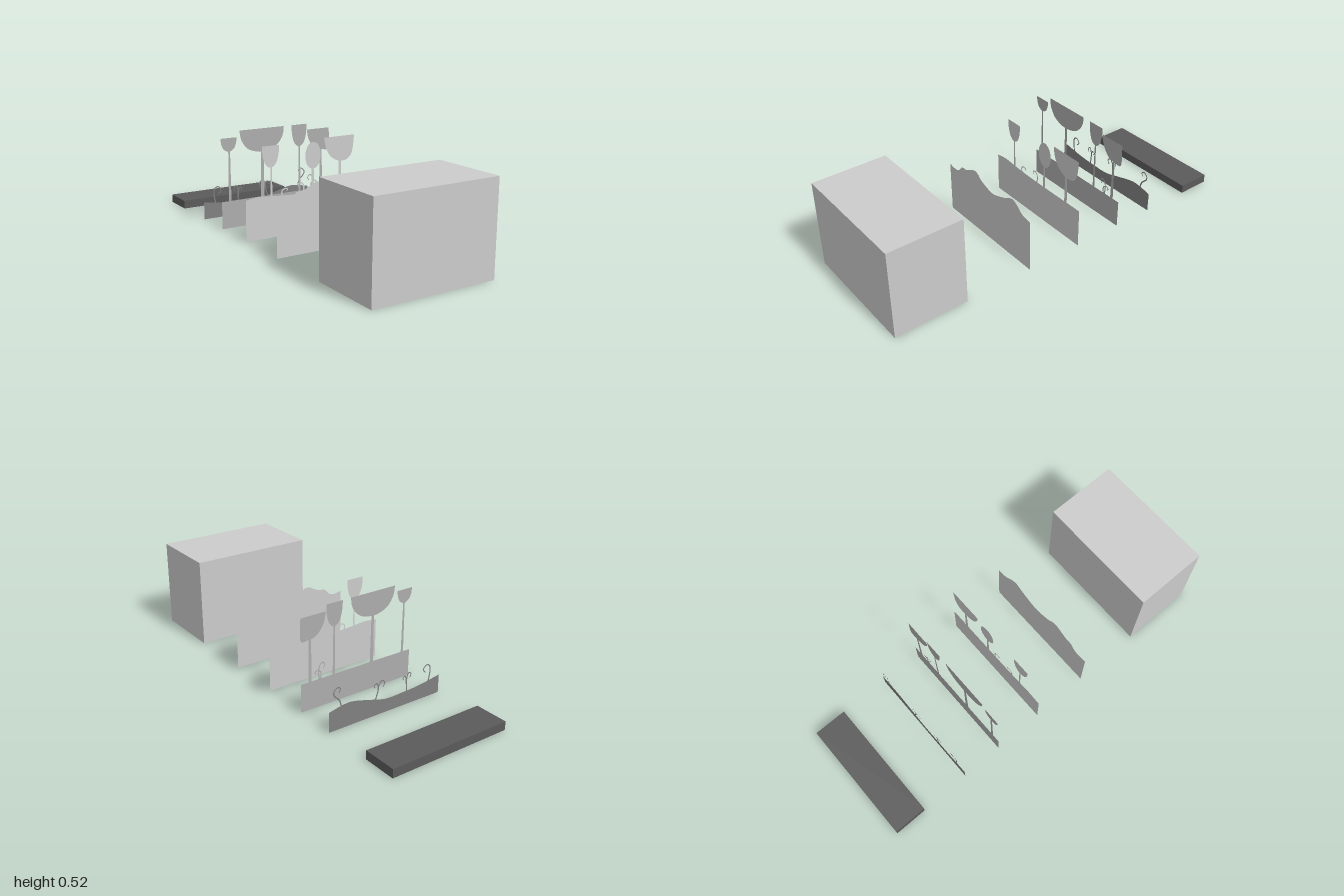
import * as THREE from 'three';

const HALF = 0.332; // half width shared by every layer
const V = (p) => new THREE.Vector2(p[0], p[1]);
const mat = (color) => new THREE.MeshStandardMaterial({ color, side: THREE.DoubleSide });

function addSheet(group, name, shape, material) {
  const mesh = new THREE.Mesh(new THREE.ShapeGeometry(shape, 16), material);
  mesh.name = name;
  group.add(mesh);
}

// Strip of ground with a smooth top contour, given left to right
function ground(top) {
  const shape = new THREE.Shape();
  shape.moveTo(HALF, 0);
  shape.lineTo(HALF, top[top.length - 1][1]);
  const pts = new THREE.SplineCurve(top.map(V)).getPoints(top.length * 5).reverse();
  pts.slice(1).forEach((p) => shape.lineTo(p.x, p.y));
  shape.lineTo(-HALF, 0);
  return shape;
}

// Flat-topped crown, rounded below; "low" is the bottom contour from left to right
function crown(left, right, top, low) {
  const shape = new THREE.Shape();
  shape.moveTo(right, top);
  shape.lineTo(left, top);
  shape.splineThru([...low, [right, top]].map(V));
  return shape;
}

// Symmetric cup crown
function cup(left, right, top, bottom) {
  const c = (left + right) / 2, w = (right - left) / 2, h = top - bottom;
  return crown(left, right, top, [
    [c - w * 0.93, top - h * 0.42], [c - w * 0.62, top - h * 0.82], [c, bottom],
    [c + w * 0.62, top - h * 0.82], [c + w * 0.93, top - h * 0.42]]);
}

// Thin trunk that widens slightly toward the ground
function trunk(x, y0, y1, w) {
  return new THREE.Shape([[x - w * 0.6, y0], [x + w * 0.6, y0], [x + w * 0.4, y1], [x - w * 0.4, y1]].map(V));
}

// Tapering flat ribbon along a smooth path
function ribbon(path, w = 0.008) {
  const curve = new THREE.SplineCurve(path.map(V));
  const n = 24, a = [], b = [];
  for (let i = 0; i <= n; i++) {
    const p = curve.getPoint(i / n), t = curve.getTangent(i / n);
    const r = w * 0.5 * (1 - 0.4 * i / n);
    a.push(new THREE.Vector2(p.x - t.y * r, p.y + t.x * r));
    b.push(new THREE.Vector2(p.x + t.y * r, p.y - t.x * r));
  }
  return new THREE.Shape([...a, ...b.reverse()]);
}

// Small curled sprout; dir is the side it curls toward
const sprout = (x, y, h, dir) => ribbon([
  [x, y], [x - dir * 0.006, y + h * 0.45], [x - dir * 0.002, y + h * 0.8], [x + dir * 0.014, y + h],
  [x + dir * 0.03, y + h * 0.86], [x + dir * 0.022, y + h * 0.66]]);

export function createModel() {
  const model = new THREE.Group();
  const grey = mat(0xcccccc);

  const box = (name, h, z0, z1, material) => {
    const mesh = new THREE.Mesh(new THREE.BoxGeometry(HALF * 2, h, z1 - z0), material);
    mesh.name = name;
    mesh.position.set(0, h / 2, (z0 + z1) / 2);
    model.add(mesh);
  };
  const layer = (name, z) => {
    const g = new THREE.Group();
    g.name = name;
    g.position.z = z;
    model.add(g);
    return g;
  };

  // Solid blocks at both ends
  box('frontBlock', 0.47, 0.61, 1, grey);
  box('backSlab', 0.045, -1, -0.823, mat(0x5a5a5a));

  // Rolling hills
  const hills = layer('hillLayer', 0.243);
  addSheet(hills, 'hills', ground([
    [-HALF, 0.278], [-0.285, 0.27], [-0.252, 0.28], [-0.222, 0.31], [-0.18, 0.316], [-0.12, 0.345],
    [-0.085, 0.342], [-0.05, 0.315], [0.028, 0.29], [0.083, 0.299], [0.139, 0.319], [0.192, 0.343],
    [0.23, 0.33], [0.275, 0.295], [HALF, 0.283]]), grey);

  // Near grove
  const near = layer('nearGrove', -0.065);
  addSheet(near, 'nearGround', ground([
    [-HALF, 0.215], [-0.26, 0.224], [-0.17, 0.217], [-0.06, 0.211], [0.1, 0.21], [HALF, 0.211]]), grey);
  addSheet(near, 'cupCrown', cup(-0.237, -0.139, 0.478, 0.366), grey);
  addSheet(near, 'cupTrunk', trunk(-0.185, 0.205, 0.375, 0.009), grey);
  const oval = new THREE.Shape();
  oval.absellipse(0.062, 0.402, 0.047, 0.07, 0, Math.PI * 2);
  addSheet(near, 'ovalCrown', oval, grey);
  addSheet(near, 'ovalTrunk', trunk(0.06, 0.2, 0.34, 0.015), grey);
  addSheet(near, 'bowlCrown', crown(0.13, 0.317, 0.487, [
    [0.14, 0.435], [0.165, 0.39], [0.205, 0.362], [0.25, 0.355], [0.288, 0.37], [0.308, 0.41]]), grey);
  addSheet(near, 'bowlTrunk', trunk(0.228, 0.2, 0.365, 0.017), grey);
  addSheet(near, 'sprout', sprout(0, 0.208, 0.06, -1), grey);
  addSheet(near, 'sprout', sprout(-0.12, 0.208, 0.04, 1), grey);

  // Middle grove
  const mid = layer('middleGrove', -0.333);
  const midMat = mat(0xadadad);
  addSheet(mid, 'middleGround', ground([[-HALF, 0.147], [0, 0.148], [HALF, 0.148]]), midMat);
  addSheet(mid, 'smallCrown', cup(-HALF, -0.24, 0.484, 0.412), midMat);
  addSheet(mid, 'smallTrunk', trunk(-0.284, 0.14, 0.42, 0.013), midMat);
  addSheet(mid, 'wideCrown', crown(-0.222, 0.045, 0.517, [
    [-0.212, 0.465], [-0.178, 0.418], [-0.125, 0.396], [-0.08, 0.393], [-0.02, 0.407], [0.02, 0.44], [0.04, 0.478]]), midMat);
  addSheet(mid, 'wideTrunk', trunk(-0.088, 0.14, 0.4, 0.018), midMat);
  addSheet(mid, 'tallCrown', cup(0.093, 0.188, 0.517, 0.396), midMat);
  addSheet(mid, 'tallTrunk', trunk(0.142, 0.14, 0.405, 0.011), midMat);
  addSheet(mid, 'edgeCrown', crown(0.19, HALF, 0.484, [
    [0.2, 0.435], [0.222, 0.397], [0.25, 0.373], [0.285, 0.366], [HALF, 0.372]]), midMat);
  addSheet(mid, 'edgeTrunk', trunk(0.28, 0.14, 0.375, 0.016), midMat);
  addSheet(mid, 'sprout', sprout(0.225, 0.14, 0.09, -1), midMat);
  addSheet(mid, 'sprout', sprout(0.222, 0.14, 0.055, 1), midMat);

  // Far meadow with curling shoots
  const far = layer('farMeadow', -0.556);
  const farMat = mat(0x808080);
  addSheet(far, 'farGround', ground([
    [-HALF, 0.097], [-0.276, 0.088], [-0.2, 0.077], [-0.1, 0.071], [0, 0.07], [0.083, 0.09],
    [0.19, 0.118], [0.25, 0.12], [HALF, 0.104]]), farMat);
  addSheet(far, 'tallShoot', ribbon([
    [0.264, 0.11], [0.275, 0.148], [0.303, 0.177], [0.307, 0.2], [0.287, 0.216], [0.27, 0.206], [0.28, 0.188]]), farMat);
  addSheet(far, 'doubleShoot', ribbon([
    [0.067, 0.08], [0.052, 0.125], [0.047, 0.155], [0.03, 0.174], [0.013, 0.16], [0.023, 0.138]]), farMat);
  addSheet(far, 'doubleShootLeaf', ribbon([
    [0.051, 0.13], [0.054, 0.158], [0.065, 0.168], [0.076, 0.158], [0.07, 0.147]], 0.007), farMat);
  addSheet(far, 'shoot', ribbon([
    [-0.127, 0.062], [-0.122, 0.115], [-0.125, 0.148], [-0.135, 0.166], [-0.148, 0.156], [-0.142, 0.138]]), farMat);
  addSheet(far, 'shootLeaf', ribbon([
    [-0.122, 0.11], [-0.117, 0.145], [-0.108, 0.154], [-0.099, 0.144], [-0.106, 0.134]], 0.007), farMat);
  addSheet(far, 'shoot', ribbon([
    [-0.262, 0.08], [-0.271, 0.13], [-0.268, 0.162], [-0.248, 0.174], [-0.227, 0.155], [-0.242, 0.135]]), farMat);

  return model;
}
